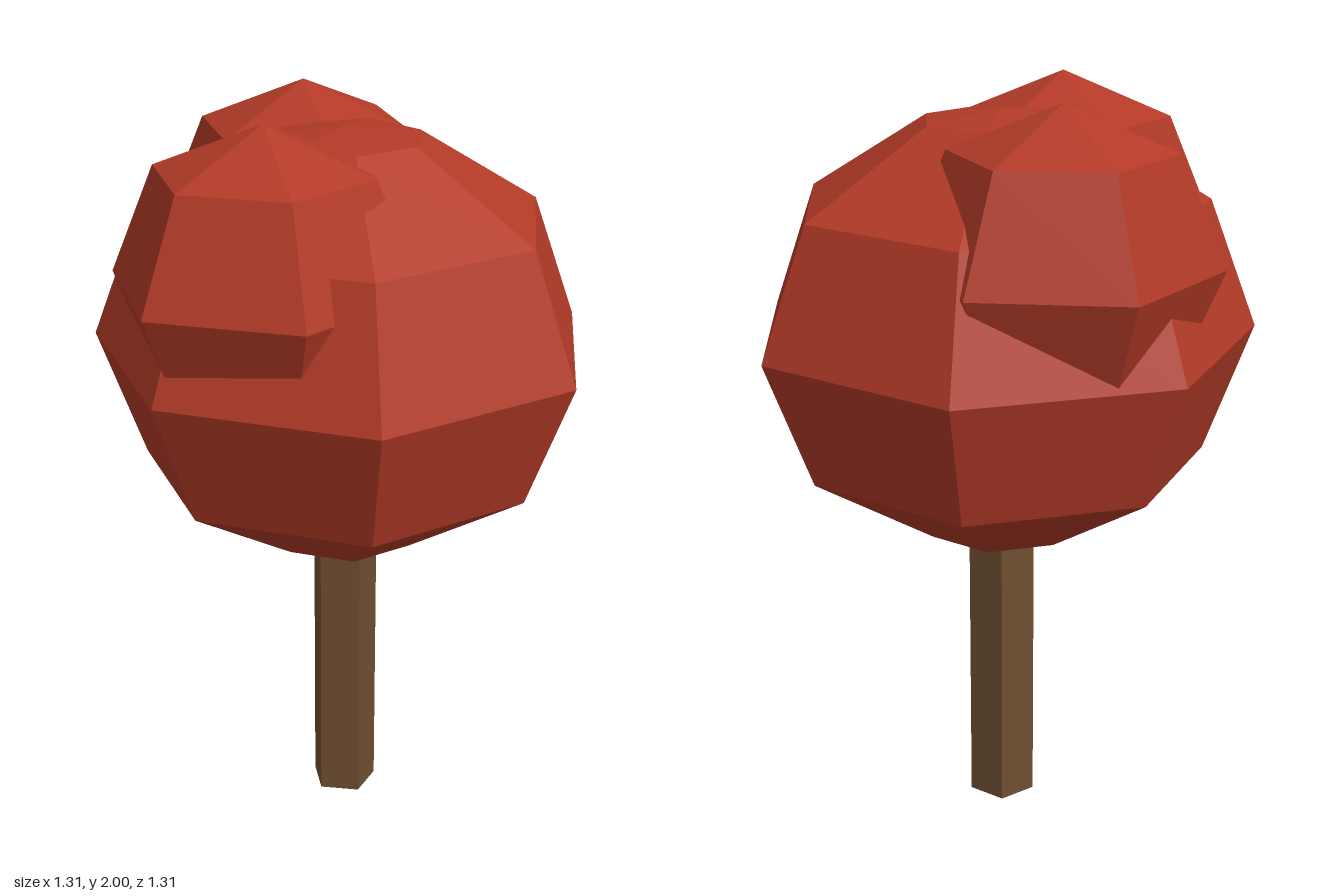
import * as THREE from 'three';

const foliage = new THREE.MeshStandardMaterial({ color: 0xb23a27, flatShading: true });
foliage.name = 'red foliage';
const bark = new THREE.MeshStandardMaterial({ color: 0x6f4e31, flatShading: true });
bark.name = 'brown bark';

// Faceted ball: rings at the given angles from the pole, first corner facing +z
function ball(name, sides, radius, height, angles, position) {
  const profile = angles.map((deg) => {
    const a = THREE.MathUtils.degToRad(deg);
    return new THREE.Vector2(Math.max(0, radius * Math.sin(a)), -height * Math.cos(a));
  });
  profile[0].x = profile[profile.length - 1].x = 0;
  const geometry = new THREE.LatheGeometry(profile, sides).toNonIndexed();
  geometry.computeVertexNormals();
  const mesh = new THREE.Mesh(geometry, foliage);
  mesh.name = name;
  mesh.position.set(...position);
  return mesh;
}

export function createModel() {
  const tree = new THREE.Group();
  tree.name = 'tree';

  // Five-sided trunk, reaching a little into the crown
  const trunk = new THREE.Mesh(new THREE.CylinderGeometry(0.092, 0.092, 0.9, 5), bark);
  trunk.name = 'trunk';
  trunk.position.set(0, 0.45, -0.05);
  tree.add(trunk);

  // Seven-sided main crown with shallow caps
  tree.add(ball('crown', 7, 0.672, 0.58, [0, 18, 54, 90, 126, 162, 180], [0, 1.363, -0.05]));

  // Six-sided leaf clumps on the front and the right shoulder
  const clumpAngles = [0, 45, 90, 135, 180];
  tree.add(ball('frontClump', 6, 0.403, 0.4, clumpAngles, [0.013, 1.6, 0.25]));
  tree.add(ball('rightClump', 6, 0.403, 0.4, clumpAngles, [-0.275, 1.6, -0.175]));

  return tree;
}
